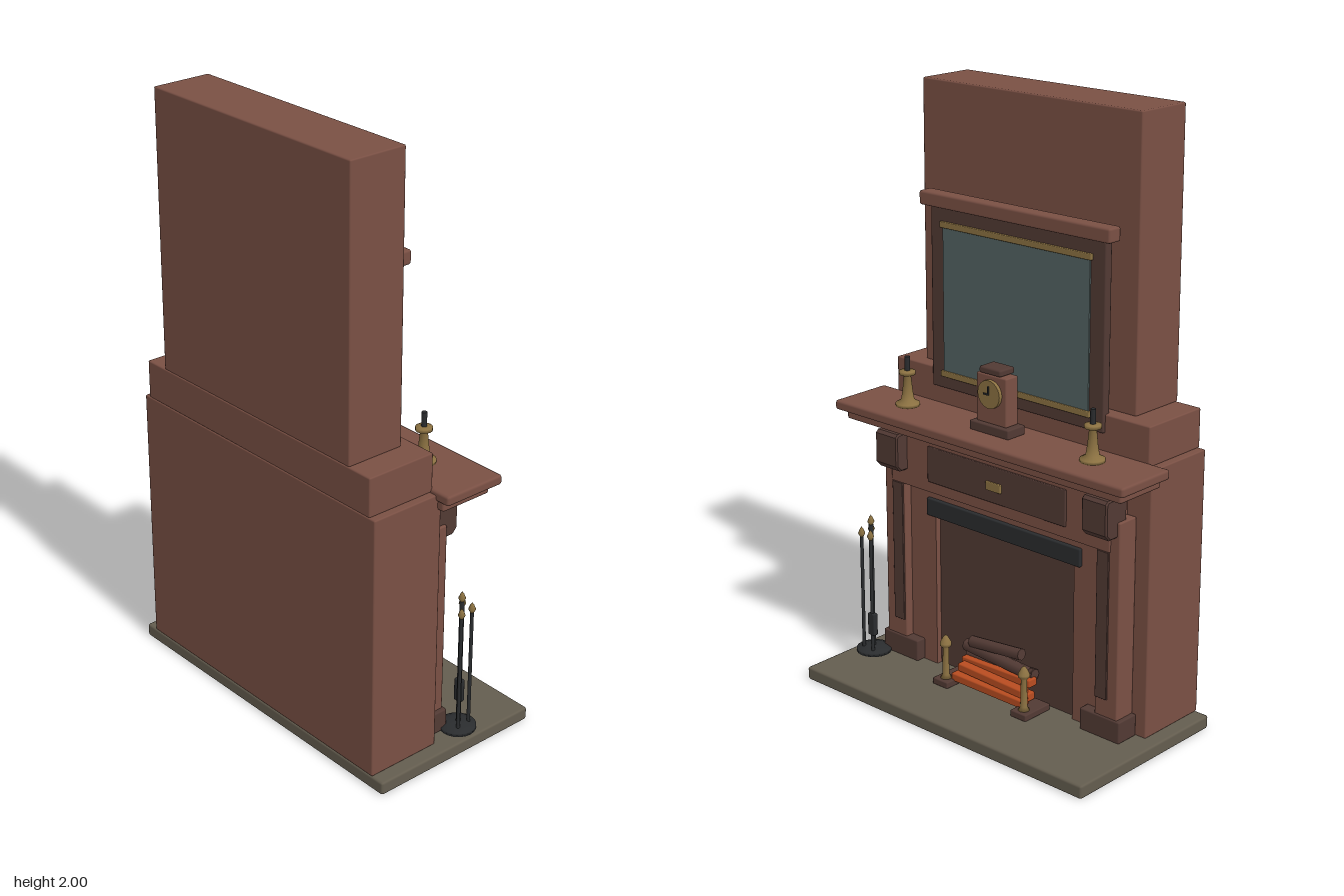
import * as THREE from 'three';
import { RoundedBoxGeometry } from 'three/addons/geometries/RoundedBoxGeometry.js';

const mat = (name, color, extra = {}) => {
  const m = new THREE.MeshStandardMaterial({ color, ...extra });
  m.name = name;
  return m;
};

export function createModel() {
  const wood = mat('warm brown', 0x7a5044);
  const dark = mat('dark brown', 0x523a34);
  const stone = mat('hearth stone', 0x645d4f);
  const glass = mat('mirror glass', 0x546463);
  const brass = mat('brass', 0x8c7242);
  const iron = mat('black iron', 0x2a2c2e);
  const ember = mat('ember orange', 0xb84c20);

  const model = new THREE.Group();
  model.name = 'fireplace';

  const add = (name, geo, material, parent = model) => {
    const m = new THREE.Mesh(geo, material);
    m.name = name;
    parent.add(m);
    return m;
  };
  // Lightly chamfered box from its extents
  const box = (name, material, x0, x1, y0, y1, z0, z1, bevel = 0.005, parent = model) => {
    const w = x1 - x0, h = y1 - y0, d = z1 - z0;
    const r = Math.min(bevel, w * 0.3, h * 0.3, d * 0.3);
    const geo = r > 0.001 ? new RoundedBoxGeometry(w, h, d, 1, r) : new THREE.BoxGeometry(w, h, d);
    const m = add(name, geo, material, parent);
    m.position.set((x0 + x1) / 2, (y0 + y1) / 2, (z0 + z1) / 2);
    return m;
  };
  const lathe = (name, material, pts, x, y, z, parent = model, sides = 16) => {
    const m = add(name, new THREE.LatheGeometry(pts.map(p => new THREE.Vector2(...p)), sides), material, parent);
    m.position.set(x, y, z);
    return m;
  };
  const rod = (name, material, r, y0, y1, x, z, parent) => {
    const m = add(name, new THREE.CylinderGeometry(r, r, y1 - y0, 12), material, parent);
    m.position.set(x, (y0 + y1) / 2, z);
    return m;
  };

  // Masonry
  box('hearth', stone, -0.315, 0.315, 0, 0.045, -0.605, 0.605, 0.008);
  box('lowerBreast', wood, -0.315, -0.05, 0.045, 0.94, -0.558, 0.558);
  box('shoulder', wood, -0.315, -0.065, 0.94, 1.07, -0.535, 0.535);
  box('chimney', wood, -0.315, -0.11, 1.07, 2, -0.445, 0.445);

  // Surround and firebox
  box('fireboxBack', dark, -0.06, -0.02, 0.045, 0.6, -0.31, 0.31, 0);
  box('surroundTop', wood, -0.06, 0, 0.58, 0.7, -0.42, 0.42, 0);
  box('lintel', iron, -0.03, 0.012, 0.58, 0.642, -0.332, 0.332);
  box('frieze', wood, -0.05, 0.035, 0.675, 0.88, -0.47, 0.47);
  box('friezePanel', dark, 0.03, 0.042, 0.715, 0.837, -0.296, 0.296, 0.003);
  box('escutcheon', brass, 0.04, 0.05, 0.757, 0.787, -0.032, 0.032, 0.003);

  // Corbel side profile, x outward and y up
  const corbelShape = new THREE.Shape([
    [-0.015, 0.74], [-0.005, 0.73], [0.065, 0.73], [0.083, 0.75], [0.083, 0.85], [0.073, 0.86], [-0.015, 0.86],
  ].map(p => new THREE.Vector2(...p)));

  for (const s of [1, -1]) {
    const side = new THREE.Group();
    side.name = s > 0 ? 'rightSurround' : 'leftSurround';
    model.add(side);
    const mbox = (name, m, x0, x1, y0, y1, a, b, bevel) =>
      box(name, m, x0, x1, y0, y1, Math.min(s * a, s * b), Math.max(s * a, s * b), bevel, side);
    mbox('jamb', wood, -0.06, 0, 0.045, 0.6, 0.3, 0.42, 0);
    mbox('pilaster', wood, -0.05, 0.03, 0.045, 0.78, 0.415, 0.505);
    mbox('pilasterInset', dark, 0.028, 0.036, 0.18, 0.675, 0.42, 0.466, 0.002);
    mbox('plinth', dark, -0.05, 0.036, 0.045, 0.12, 0.36, 0.52);
    const corbel = add('corbel', new THREE.ExtrudeGeometry(corbelShape,
      { depth: 0.09, bevelSize: 0.005, bevelThickness: 0.005, bevelOffset: -0.005, bevelSegments: 1 }), dark, side);
    corbel.position.z = s * 0.445 - 0.045;
  }

  // Mantel shelf
  box('mantelMoulding', wood, -0.065, 0.125, 0.888, 0.925, -0.582, 0.582, 0.008);
  box('mantelBed', wood, -0.05, 0.05, 0.87, 0.9, -0.5, 0.5, 0);
  box('mantelShelf', wood, -0.073, 0.152, 0.92, 0.953, -0.61, 0.61, 0.009);

  // Overmantel mirror
  box('mirrorFrame', dark, -0.085, -0.055, 1.01, 1.61, -0.362, 0.362);
  box('mirrorGlass', glass, -0.058, -0.05, 1.055, 1.56, -0.305, 0.305, 0);
  for (const y of [1.062, 1.556])
    box('mirrorTrim', brass, -0.056, -0.043, y - 0.01, y + 0.01, -0.314, 0.314, 0.003);
  box('mirrorCornice', wood, -0.087, -0.033, 1.61, 1.657, -0.393, 0.393, 0.008);

  // Mantel clock
  const clock = new THREE.Group();
  clock.name = 'clock';
  model.add(clock);
  box('clockBase', dark, -0.013, 0.067, 0.953, 0.985, -0.082, 0.082, 0.005, clock);
  box('clockBody', wood, -0.002, 0.055, 0.985, 1.145, -0.063, 0.063, 0.005, clock);
  box('clockCap', dark, -0.006, 0.062, 1.147, 1.17, -0.045, 0.045, 0.008, clock);
  const dial = add('clockDial', new THREE.CylinderGeometry(0.046, 0.046, 0.014, 24), brass, clock);
  dial.rotation.z = -Math.PI / 2;
  dial.position.set(0.06, 1.085, 0);
  box('minuteHand', iron, 0.066, 0.071, 1.083, 1.112, -0.002, 0.002, 0, clock);
  box('hourHand', iron, 0.066, 0.071, 1.083, 1.088, -0.002, 0.02, 0, clock);

  // Candlesticks
  for (const z of [-0.393, 0.393]) {
    lathe('candlestick', brass, [[0, 0], [0.04, 0], [0.04, 0.01], [0.022, 0.02], [0.017, 0.05], [0.012, 0.1],
      [0.027, 0.107], [0.027, 0.118], [0.013, 0.12], [0, 0.12]], 0.03, 0.953, z);
    rod('candle', iron, 0.009, 1.07, 1.12, 0.03, z);
  }

  // Fire tools
  const tools = new THREE.Group();
  tools.name = 'fireTools';
  model.add(tools);
  lathe('toolBase', iron, [[0, 0], [0.06, 0], [0.06, 0.012], [0.03, 0.022], [0, 0.022]], 0.07, 0.045, 0.535, tools, 20);
  const finial = [[0, 0], [0.006, 0], [0.012, 0.012], [0.006, 0.027], [0, 0.036]];
  for (const [x, z, top, r] of [[0.073, 0.535, 0.51, 0.008], [0.048, 0.56, 0.47, 0.006], [0.1, 0.51, 0.47, 0.006],
    [0.098, 0.555, 0.47, 0.006]]) {
    rod('toolRod', iron, r, 0.06, top, x, z, tools);
    lathe('toolFinial', brass, finial, x, top - 0.002, z, tools, 12);
  }
  box('shovel', iron, 0.088, 0.108, 0.12, 0.2, 0.495, 0.525, 0.004, tools);

  // Andirons
  for (const z of [-0.173, 0.173]) {
    box('andironFoot', dark, 0.0, 0.12, 0.045, 0.068, z - 0.033, z + 0.033, 0.004);
    lathe('andironPost', brass, [[0, 0], [0.02, 0], [0.012, 0.015], [0.01, 0.11], [0.02, 0.12], [0.02, 0.128],
      [0.008, 0.15], [0, 0.157]], 0.09, 0.066, z, model, 12);
  }

  // Embers and logs
  for (const [x, y, half, tilt] of [[0.065, 0.075, 0.155, 0], [0.03, 0.08, 0.15, 0.02], [0.05, 0.105, 0.14, -0.03],
    [0.02, 0.125, 0.15, 0.03]]) {
    const e = box('emberBar', ember, x - 0.02, x + 0.02, y - 0.014, y + 0.014, -half, half, 0.005);
    e.rotation.x = tilt;
  }
  for (const [x, y, len, r, tilt] of [[0.02, 0.165, 0.28, 0.021, 0.06], [0.025, 0.206, 0.22, 0.02, -0.1],
    [0.0, 0.14, 0.29, 0.02, -0.05]]) {
    const log = add('log', new THREE.CylinderGeometry(r, r, len, 8), dark);
    log.rotation.x = Math.PI / 2 - tilt;
    log.position.set(x, y, 0.005);
  }
  return model;
}
